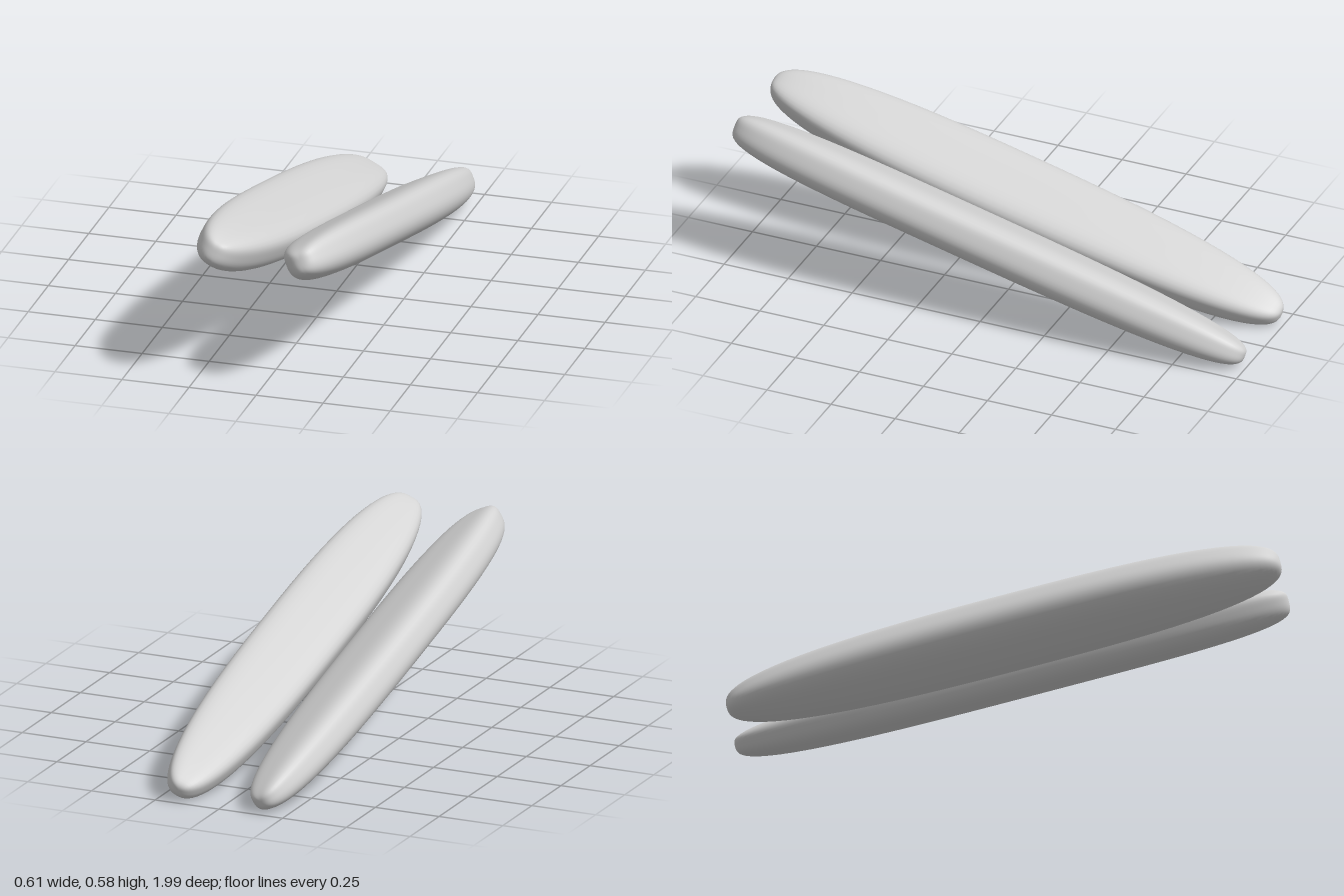
import * as THREE from 'three';
import { mergeVertices } from 'three/addons/utils/BufferGeometryUtils.js';

const ROLL = THREE.MathUtils.degToRad(25);
const PITCH = THREE.MathUtils.degToRad(13.8);
const HALF_WIDTH = 0.147;
const WIDEST = 0.08; // the fullest section lies a little forward of the middle

// Rounded taper from 1 at the fullest section to 0 at the tip
const taper = (t, power) => Math.max(0, 1 - t ** power) ** (1 / power);

// Long pad: flat-topped, round-bellied sections lofted between two blunt tips
function padGeometry() {
  let geo = new THREE.SphereGeometry(1, 48, 48);
  geo.rotateX(Math.PI / 2);
  geo.deleteAttribute('uv');
  geo.deleteAttribute('normal');
  geo = mergeVertices(geo, 1e-5);
  const pos = geo.attributes.position;
  for (let i = 0; i < pos.count; i++) {
    const x = pos.getX(i), y = pos.getY(i), z = pos.getZ(i);
    // crowd the rings towards the tips
    const t = 1 - Math.max(0, 1 - Math.abs(z)) ** 1.6;
    const front = z > 0, top = y > 0;
    const width = HALF_WIDTH * taper(t, 2.6);
    const height = (top ? 0.08 : 0.095) * taper(t, front ? 4 : 3.2);
    // boxier section above, rounder below
    const power = top ? 3.6 : 2.5;
    const r = (Math.abs(x) ** power + Math.abs(y) ** power) ** (1 / power) || 1;
    const length = front ? 0.942 : 1.102;
    pos.setXYZ(i, width * x / r, height * y / r, WIDEST + Math.sign(z) * t * length);
  }
  return geo;
}

export function createModel() {
  const group = new THREE.Group();
  const grey = new THREE.MeshStandardMaterial({ color: 0xd4d4d4 });
  grey.name = 'light grey';

  // Mirrored pair: outer edges rolled up, front ends pitched up
  for (const side of [1, -1]) {
    const geo = padGeometry();
    geo.rotateZ(side * ROLL);
    geo.rotateX(-PITCH);
    geo.translate(side * 0.1635, 0.296, 0);
    geo.computeVertexNormals();
    const pad = new THREE.Mesh(geo, grey);
    pad.name = side > 0 ? 'leftPad' : 'rightPad';
    group.add(pad);
  }
  return group;
}
